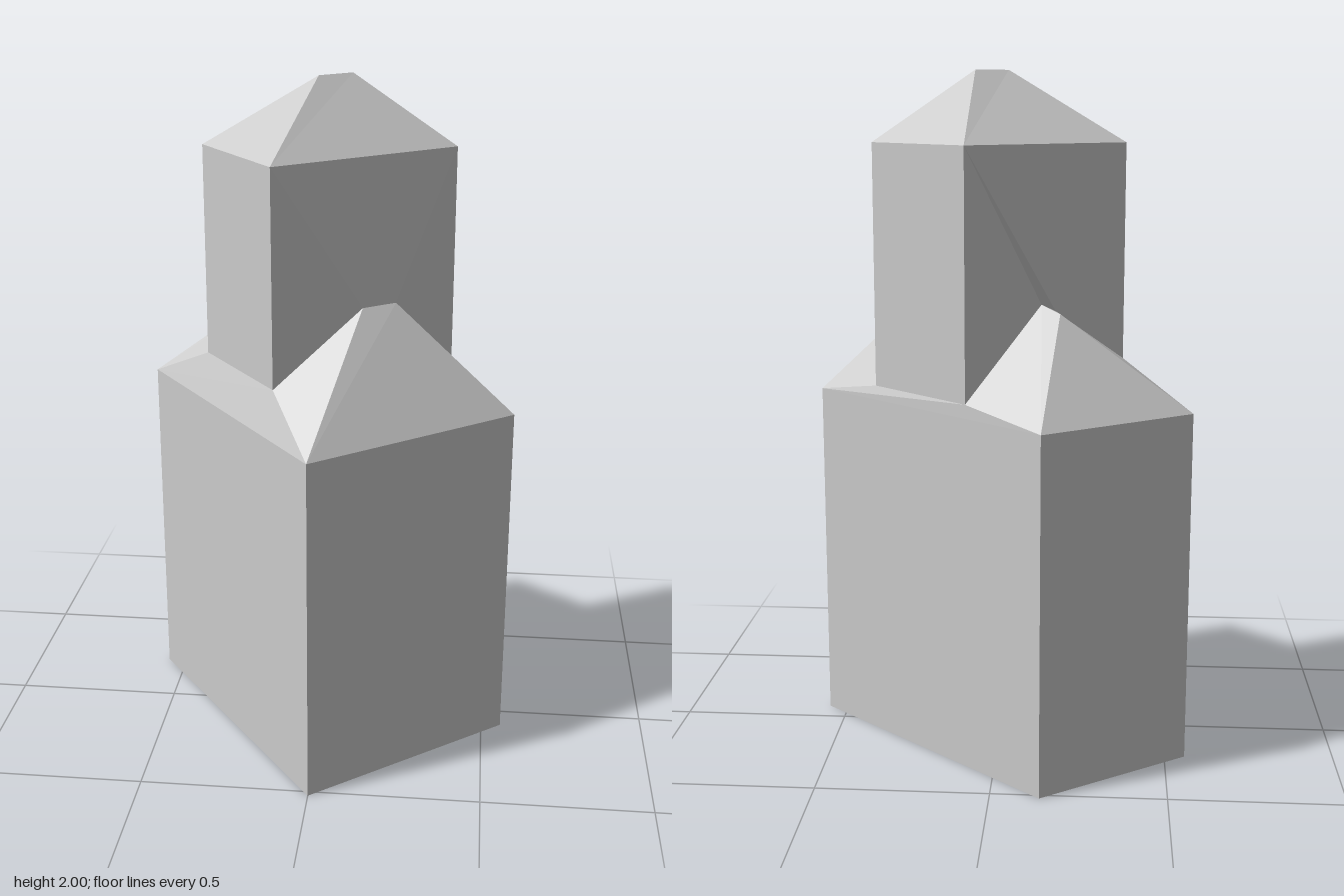
import * as THREE from 'three';

const material = new THREE.MeshStandardMaterial({ color: 0xcccccc, flatShading: true });

// Flat-shaded mesh from polygons; corners run counter-clockwise seen from outside.
function facets(name, polygons) {
  const pos = [];
  for (const p of polygons)
    for (let i = 1; i < p.length - 1; i++) pos.push(...p[0], ...p[i], ...p[i + 1]);
  const geo = new THREE.BufferGeometry();
  geo.setAttribute('position', new THREE.Float32BufferAttribute(pos, 3));
  geo.computeVertexNormals();
  const mesh = new THREE.Mesh(geo, material);
  mesh.name = name;
  return mesh;
}

export function createModel() {
  const group = new THREE.Group();
  group.name = 'towerBuilding';
  const ring = (plan, heights) => plan.map(([x, z], i) => [x, heights[i], z]);
  const same = (y) => [y, y, y, y];

  // Plan corners in order: front, right, back, left
  const basePlan = [[0, 0.52], [0.56, 0.08], [-0.14, -0.52], [-0.56, -0.22]];
  const towerPlan = [[-0.12, 0.29], [0.37, -0.07], [0.08, -0.33], [-0.36, -0.03]];
  const ground = ring(basePlan, same(0));
  const eave = ring(basePlan, same(1.045));
  const foot = ring(towerPlan, [1.17, 1.085, 1.085, 1.17]);
  const top = ring(towerPlan, same(1.797));
  const [a, b, c, d] = eave;
  const [fA, fB, fC, fD] = foot;
  const [A, B, C, D] = top;

  // Hip ends of the lower roof and the points where they meet the tower
  const P = [0.12, 1.375, 0.15], Q = [0.21, 1.375, 0.085];
  const E = [-0.18, 1.325, -0.21];
  const F1 = [-0.165, 1.325, -0.155], F2 = [-0.125, 1.345, -0.165];
  // Top ridge
  const R1 = [-0.02, 2, 0], R2 = [0.07, 2, -0.07];

  // Main block: four walls and floor
  const walls = eave.map((p, i) => {
    const j = (i + 1) % 4;
    return [ground[i], ground[j], eave[j], p];
  });
  group.add(facets('mainBlock', [...walls, [...ground].reverse()]));

  // Sloping roof around the tower
  group.add(facets('lowerRoof', [
    [a, b, Q, P], [b, fB, Q],
    [b, c, fC, fB], [c, E, F2, fC],
    [c, d, E], [E, F1, F2],
    [d, fD, F1, E], [d, a, fA, fD], [a, P, fA],
  ]));

  // Tower walls, creased where the hip ends meet them
  group.add(facets('towerWalls', [
    [fA, P, A], [A, P, Q, B], [Q, fB, B],
    [fB, fC, C, B],
    [fC, F2, C], [C, F2, F1, D], [F1, fD, D],
    [fD, fA, A, D],
  ]));

  // Hipped cap
  group.add(facets('towerRoof', [[A, B, R2, R1], [B, C, R2], [C, D, R1, R2], [D, A, R1]]));
  return group;
}
